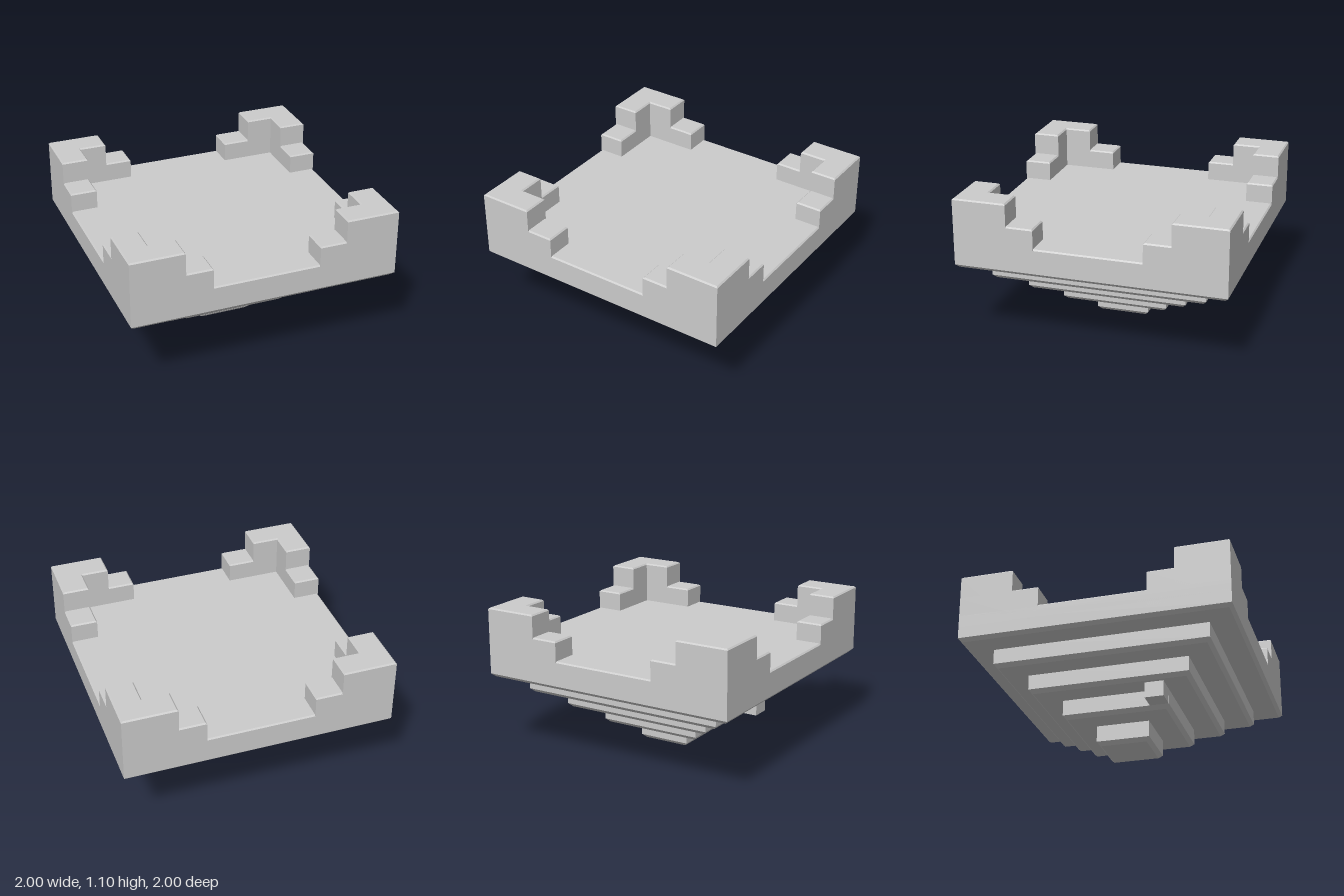
import * as THREE from 'three';

const material = new THREE.MeshStandardMaterial({ color: 0xcccccc, flatShading: true });

// Upright prism from a plan outline, with chamfered top and bottom rims
function prism(name, outline, y0, y1, bevel) {
  const shape = new THREE.Shape(outline.map(([x, z]) => new THREE.Vector2(x, z)));
  const geometry = new THREE.ExtrudeGeometry(shape, {
    depth: y1 - y0 - 2 * bevel,
    bevelEnabled: true,
    bevelThickness: bevel,
    bevelSize: bevel,
    bevelOffset: -bevel,
    bevelSegments: 1,
  });
  geometry.rotateX(-Math.PI / 2);
  geometry.translate(0, y0 + bevel, 0);
  const mesh = new THREE.Mesh(geometry, material);
  mesh.name = name;
  return mesh;
}

const square = (h) => [[-h, -h], [h, -h], [h, h], [-h, h]];

// L-shaped plan hugging one corner, arms reaching in to the given distance
const corner = (end) => [[1, 1], [end, 1], [end, 0.8], [0.8, 0.8], [0.8, end], [1, end]];

export function createModel() {
  const group = new THREE.Group();
  group.name = 'steppedPlatform';

  // Main slab: chamfered underside, finely bevelled floor
  group.add(prism('slab', square(1), 0.575, 0.77, 0.025));
  group.add(prism('floor', square(1), 0.68, 0.787, 0.01));

  // Inverted pyramid of tiers under the slab
  const tiers = [[0.8, 0.435, 0.64], [0.6, 0.295, 0.5], [0.4, 0.15, 0.36], [0.2, 0, 0.22]];
  tiers.forEach(([half, y0, y1], i) => {
    group.add(prism(`tier${i + 1}`, square(half), y0, y1, 0.028));
  });

  // Stepped battlements on the four corners
  for (let i = 0; i < 4; i++) {
    const battlement = new THREE.Group();
    battlement.name = 'cornerBattlement';
    battlement.add(prism('lowStep', corner(0.4), 0.65, 0.933, 0.01));
    battlement.add(prism('highStep', corner(0.6), 0.65, 1.1, 0.01));
    battlement.rotation.y = (i * Math.PI) / 2;
    group.add(battlement);
  }

  // Small block on the side of the third tier down
  const block = new THREE.Mesh(new THREE.BoxGeometry(0.15, 0.13, 0.14), material);
  block.name = 'sideBlock';
  block.position.set(-0.47, 0.243, 0.329);
  group.add(block);

  return group;
}
